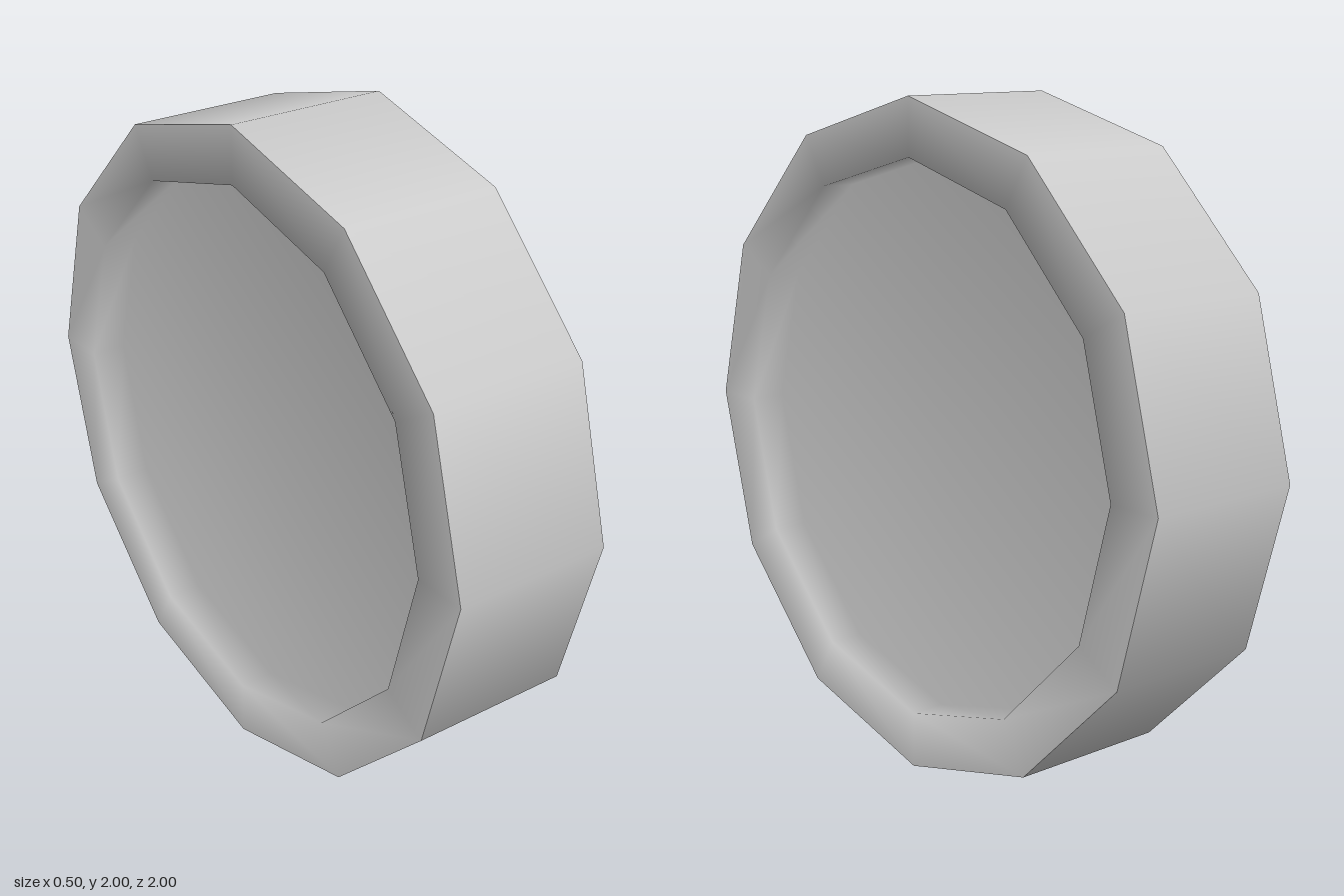
import * as THREE from 'three';

const SIDES = 12;
const RADIUS = 1;
const HALF_WIDTH = 0.25;
const LIP_RADIUS = 0.83;
const RECESS = 0.11;

export function createModel() {
  const group = new THREE.Group();
  group.name = 'wheel';
  const material = new THREE.MeshStandardMaterial({ color: 0xcccccc });

  const add = (name, geometry, turn) => {
    geometry.rotateZ(turn); // lay the axle along x
    const mesh = new THREE.Mesh(geometry, material);
    mesh.name = name;
    mesh.position.y = RADIUS;
    group.add(mesh);
  };

  // Outer band
  add('tread', new THREE.CylinderGeometry(RADIUS, RADIUS, HALF_WIDTH * 2, SIDES, 1, true), -Math.PI / 2);

  // Each side: flat rim, short inner wall and recessed disc, softly shaded together
  const profile = [
    [RADIUS, HALF_WIDTH],
    [LIP_RADIUS, HALF_WIDTH],
    [LIP_RADIUS, HALF_WIDTH - RECESS],
    [0, HALF_WIDTH - RECESS],
  ].map(([r, h]) => new THREE.Vector2(r, h));

  for (const [name, turn] of [['leftHub', -Math.PI / 2], ['rightHub', Math.PI / 2]]) {
    add(name, new THREE.LatheGeometry(profile, SIDES), turn);
  }
  return group;
}
